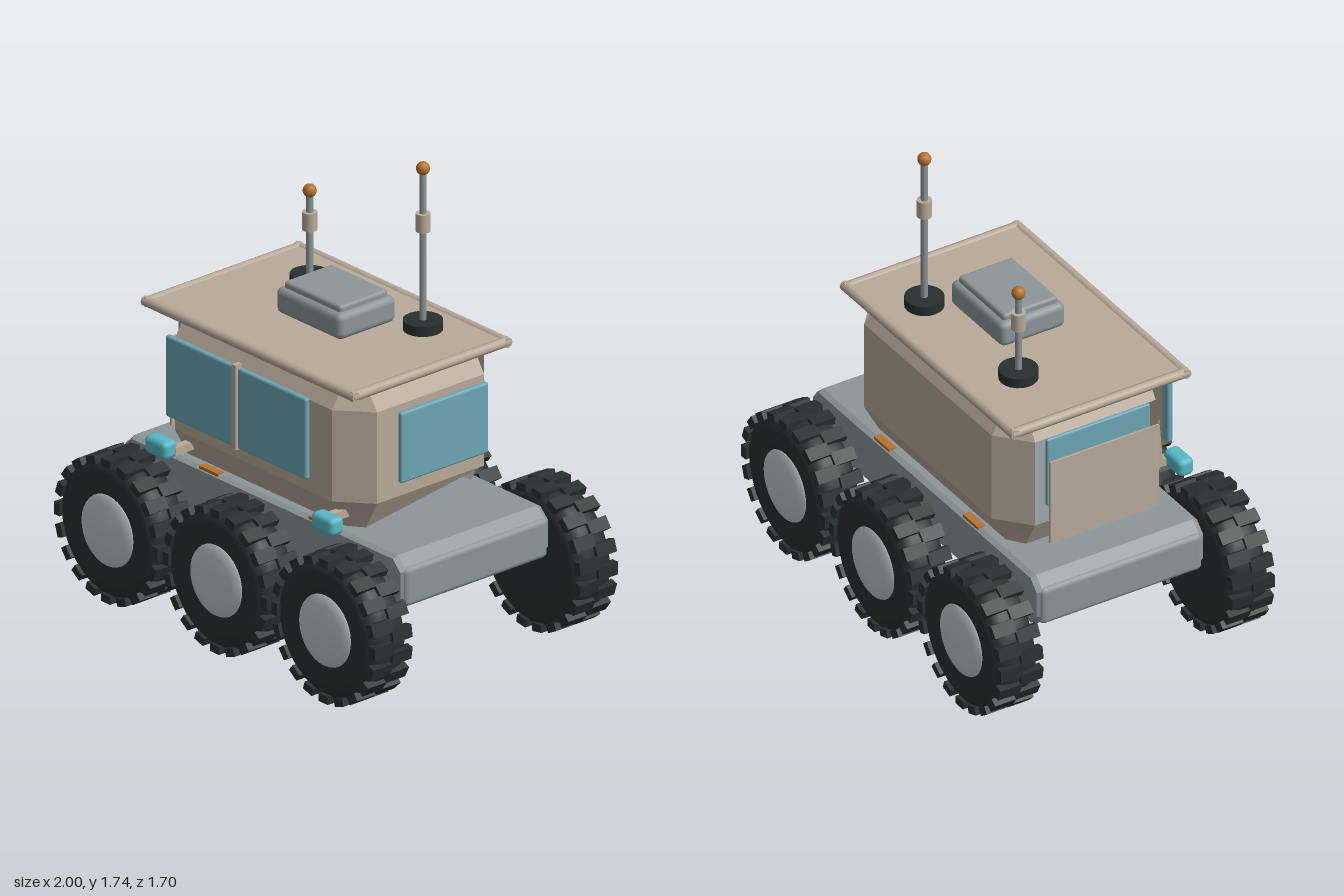
import * as THREE from 'three';
import { RoundedBoxGeometry } from 'three/addons/geometries/RoundedBoxGeometry.js';

const mat = (name, color, side = THREE.FrontSide) => {
  const m = new THREE.MeshStandardMaterial({ color, side });
  m.name = name;
  return m;
};

export function createModel() {
  const beige = mat('beige panel', 0xb8aa9a, THREE.DoubleSide);
  const grey = mat('grey metal', 0x8c9698);
  const silver = mat('silver hub', 0xc0c8c8);
  const rubber = mat('black rubber', 0x28302f);
  const glass = mat('blue glass', 0x6ca6b3);
  const lamp = mat('cyan lamp', 0x55b8c6);
  const copper = mat('copper', 0xb8722f);

  const model = new THREE.Group();
  const rover = new THREE.Group();
  rover.name = 'rover';
  rover.rotation.y = -0.391; // the vehicle stands turned on its base
  model.add(rover);

  const add = (name, geo, material, x = 0, y = 0, z = 0, parent = rover) => {
    const m = new THREE.Mesh(geo, material);
    m.name = name;
    m.position.set(x, y, z);
    parent.add(m);
    return m;
  };
  const box = (w, h, d) => new THREE.BoxGeometry(w, h, d);
  const cyl = (r, h, n = 20) => new THREE.CylinderGeometry(r, r, h, n);
  const rounded = (w, h, d, r) => new RoundedBoxGeometry(w, h, d, 2, r);
  const v2 = ([x, y]) => new THREE.Vector2(x, y);

  // Wheels: tyre with staggered lugs, domed hub on the outer side
  const tyreGeo = new THREE.LatheGeometry([[0, -0.07], [0.08, -0.078], [0.15, -0.087], [0.215, -0.088],
    [0.25, -0.07], [0.26, -0.035], [0.261, 0], [0.26, 0.035], [0.25, 0.07], [0.215, 0.088],
    [0.14, 0.078], [0, 0.07]].map(v2), 40);
  tyreGeo.rotateX(Math.PI / 2);
  const hubGeo = new THREE.LatheGeometry([[0.137, 0.074], [0.132, 0.084], [0.1, 0.094],
    [0.05, 0.101], [0, 0.103]].map(v2), 32);
  hubGeo.rotateX(Math.PI / 2);
  const lugGeo = box(0.048, 0.03, 0.09);
  const LUGS = 20;
  for (const side of [1, -1]) {
    for (const x of [-0.575, 0, 0.575]) {
      const wheel = new THREE.Group();
      wheel.name = 'wheel';
      wheel.position.set(x, 0.28, 0.48 * side);
      if (side < 0) wheel.rotation.y = Math.PI;
      rover.add(wheel);
      add('tyre', tyreGeo, rubber, 0, 0, 0, wheel);
      add('hub', hubGeo, silver, 0, 0, 0, wheel);
      for (let i = 0; i < LUGS; i++) {
        for (const s of [1, -1]) {
          const a = ((i + (s > 0 ? 0 : 0.5)) / LUGS) * Math.PI * 2;
          const lug = add('treadLug', lugGeo, rubber, Math.sin(a) * 0.259, Math.cos(a) * 0.259, 0.043 * s, wheel);
          lug.rotation.z = -a;
        }
      }
      // Suspension arm from the belly to the wheel
      const arm = add('suspensionArm', box(0.06, 0.04, 0.3), copper, x * 0.95, 0.322, 0.28 * side);
      arm.rotation.x = 0.16 * side;
    }
    for (const x of [-0.29, 0.29]) add('sidePlate', box(0.1, 0.012, 0.03), copper, x, 0.538, 0.325 * side);
  }

  // Chassis: side profile extruded across the width, with bumpers
  const hull = new THREE.Shape([[-0.73, 0.39], [-0.69, 0.345], [0.69, 0.345], [0.73, 0.39],
    [0.73, 0.49], [0.69, 0.53], [-0.69, 0.53], [-0.73, 0.49]].map(v2));
  const hullGeo = new THREE.ExtrudeGeometry(hull, { depth: 0.65, bevelSize: 0.01, bevelThickness: 0.02, bevelSegments: 1 });
  add('chassis', hullGeo, grey, 0, 0, -0.325);
  for (const s of [1, -1]) add('bumper', rounded(0.05, 0.15, 0.67, 0.02), grey, 0.722 * s, 0.43, 0);

  // Cabin: panels between eight-cornered rings, some corners left open
  const ring = (y, i) => [[0.5 - i, -0.25], [0.5 - i, 0.25], [0.38, 0.355 - i], [-0.45, 0.355 - i],
    [-0.57 + i, 0.25], [-0.57 + i, -0.25], [-0.45, i - 0.355], [0.38, i - 0.355]].map(([x, z]) => [x, y, z]);
  const rings = [ring(0.54, 0.06), ring(0.65, 0), ring(1.0, 0), ring(1.06, 0.04)];
  const panel = (name, ...p) => {
    const pos = [];
    for (let i = 1; i < p.length - 1; i++) pos.push(...p[0], ...p[i], ...p[i + 1]);
    const g = new THREE.BufferGeometry();
    g.setAttribute('position', new THREE.Float32BufferAttribute(pos, 3));
    g.computeVertexNormals();
    add(name, g, beige);
  };
  const quad = (name, band, k) => {
    const n = (k + 1) % 8;
    panel(name, rings[band][n], rings[band][k], rings[band + 1][k], rings[band + 1][n]);
  };
  for (let b = 0; b < 3; b++) {
    for (const k of [2, 6]) quad('cabinSide', b, k);
    for (const k of [1, 5]) quad('cabinCorner', b, k);
    if (b !== 1) quad('cabinRear', b, 4);
    if (b > 0) quad('cabinEnd', b, 0);
  }
  panel('cabinEndSkirt', rings[0][1], rings[1][0], rings[1][1]);
  panel('cornerGusset', rings[1][3], rings[1][4], [-0.56, 0.92, 0.27]);
  panel('cornerGusset', rings[2][7], rings[2][0], [0.4, 0.86, -0.34]);
  add('rearPanel', box(0.008, 0.34, 0.45), beige, -0.603, 0.75, 0.015);

  // Windows and centre post
  for (const x of [-0.278, 0.104]) add('sideWindow', rounded(0.362, 0.31, 0.024, 0.009), glass, x, 0.865, 0.382);
  add('windowPost', box(0.02, 0.325, 0.03), beige, -0.088, 0.868, 0.386);
  add('endWindow', rounded(0.022, 0.27, 0.41, 0.009), glass, 0.57, 0.875, 0.003);
  add('rearWindow', rounded(0.016, 0.28, 0.43, 0.007), glass, -0.586, 0.87, 0);

  // Headlights
  for (const x of [-0.445, 0.435]) {
    add('headlight', rounded(0.115, 0.068, 0.065, 0.02), lamp, x, 0.608, 0.425);
    add('headlightBracket', box(0.03, 0.03, 0.12), beige, x * 0.9, 0.6, 0.35);
  }

  // Roof with a raised rim
  add('roof', box(1.11, 0.025, 0.73), beige, -0.05, 1.09, 0);
  for (const s of [1, -1]) {
    const long = add('roofRim', cyl(0.019, 1.12, 8), beige, -0.05, 1.091, 0.355 * s);
    long.rotation.z = Math.PI / 2;
    const short = add('roofRim', cyl(0.019, 0.73, 8), beige, -0.05 + 0.545 * s, 1.091, 0);
    short.rotation.x = Math.PI / 2;
  }

  // Roof equipment box
  add('roofBox', rounded(0.345, 0.1, 0.27, 0.025), grey, 0, 1.175, 0);
  add('roofBoxLid', rounded(0.3, 0.04, 0.225, 0.012), grey, 0, 1.228, 0);

  // Antennas
  for (const [x, z, top, sleeveY] of [[0.239, -0.195, 1.718, 1.513], [-0.32, -0.16, 1.457, 1.342]]) {
    add('antennaBase', cyl(0.071, 0.04), rubber, x, 1.12, z);
    add('antennaMast', cyl(0.013, top - 1.12, 12), grey, x, (top + 1.12) / 2, z);
    add('antennaSleeve', cyl(0.027, 0.068, 16), beige, x, sleeveY, z);
    add('antennaTip', new THREE.SphereGeometry(0.025, 16, 12), copper, x, top, z);
  }
  return model;
}
